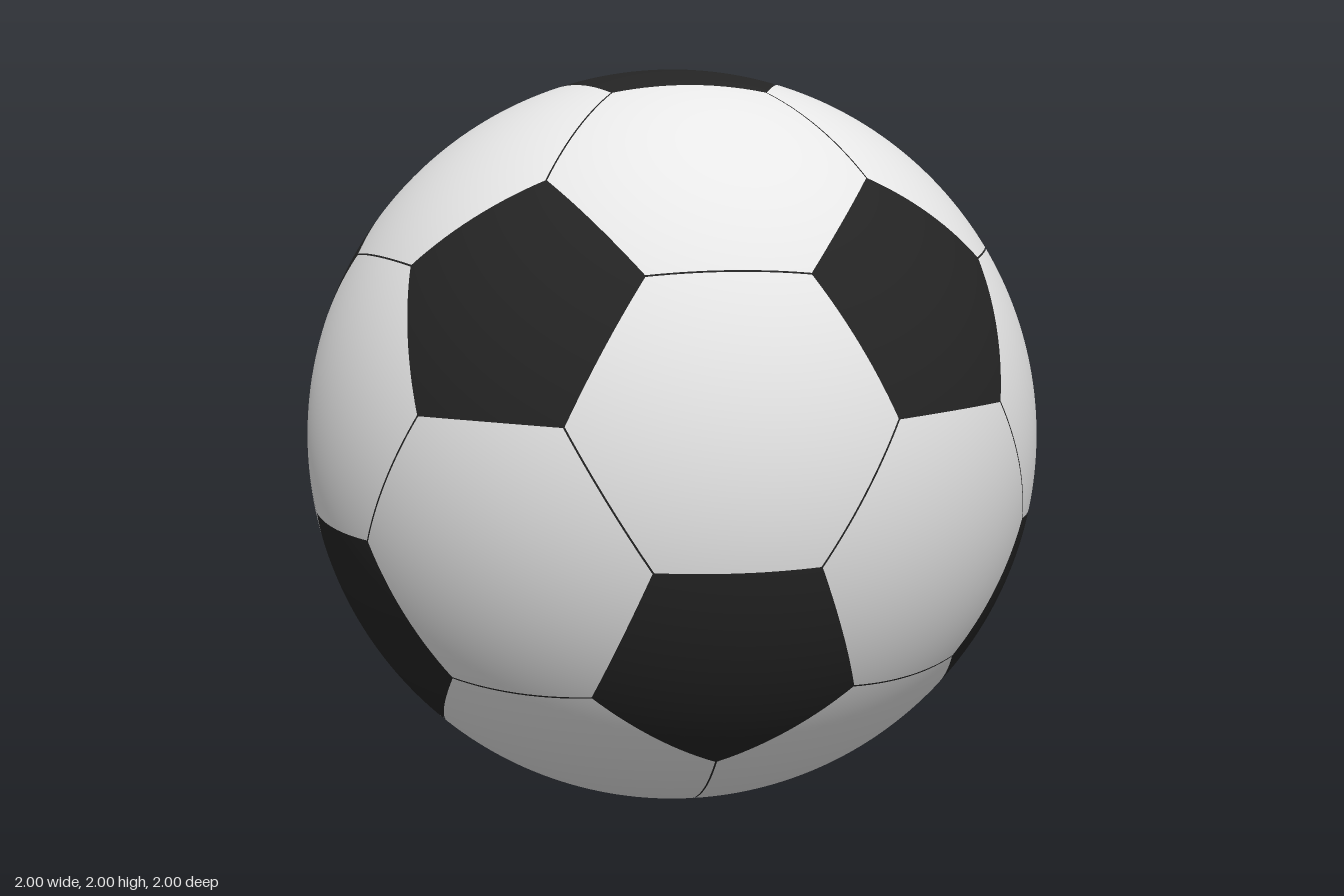
import * as THREE from 'three';

const SEAM = 0.0025; // half the width of a seam
const STEPS = 14; // subdivisions from panel centre to rim

// Corners of an icosahedron standing on one vertex
function icosahedronVertices() {
  const h = 1 / Math.sqrt(5), r = 2 * h;
  const points = [new THREE.Vector3(0, 1, 0), new THREE.Vector3(0, -1, 0)];
  for (let k = 0; k < 5; k++) {
    const a = k * Math.PI * 0.4, b = a + Math.PI / 5;
    points.push(new THREE.Vector3(r * Math.cos(a), h, r * Math.sin(a)));
    points.push(new THREE.Vector3(r * Math.cos(b), -h, r * Math.sin(b)));
  }
  return points;
}

// Point one third of the way from a to b, pushed out to the ball
const third = (a, b) => a.clone().multiplyScalar(2).add(b).normalize();

// Spherical polygon: a subdivided fan around the centre, projected onto the ball
function panelGeometry(corners) {
  const centre = new THREE.Vector3();
  corners.forEach((p) => centre.add(p));
  centre.divideScalar(corners.length);
  const normal = centre.clone().normalize();
  const u = corners[0].clone().sub(centre).normalize();
  const v = new THREE.Vector3().crossVectors(normal, u);
  const angle = (p) => {
    const d = p.clone().sub(centre);
    return Math.atan2(d.dot(v), d.dot(u));
  };
  const ring = [...corners].sort((a, b) => angle(a) - angle(b));

  // Pull the rim in to leave the seam
  const inradius = ring[0].clone().add(ring[1]).multiplyScalar(0.5).distanceTo(centre);
  const rim = ring.map((p) => p.clone().sub(centre).multiplyScalar(1 - SEAM / inradius));

  const positions = [], index = [];
  rim.forEach((p, s) => {
    const q = rim[(s + 1) % rim.length];
    const base = positions.length / 3;
    const at = (i, j) => base + (i * (i + 1)) / 2 + j;
    for (let i = 0; i <= STEPS; i++) {
      for (let j = 0; j <= i; j++) {
        const point = centre.clone()
          .addScaledVector(p, (i - j) / STEPS)
          .addScaledVector(q, j / STEPS)
          .normalize();
        positions.push(point.x, point.y, point.z);
        if (i < STEPS) {
          index.push(at(i, j), at(i + 1, j), at(i + 1, j + 1));
          if (j < i) index.push(at(i, j), at(i + 1, j + 1), at(i, j + 1));
        }
      }
    }
  });
  const geometry = new THREE.BufferGeometry();
  geometry.setAttribute('position', new THREE.Float32BufferAttribute(positions, 3));
  geometry.setAttribute('normal', new THREE.Float32BufferAttribute(positions, 3));
  geometry.setIndex(index);
  return geometry;
}

export function createModel() {
  const white = new THREE.MeshStandardMaterial({ color: 0xeeeeee });
  white.name = 'white leather';
  const black = new THREE.MeshStandardMaterial({ color: 0x242424 });
  black.name = 'black leather';

  const ball = new THREE.Group();
  ball.name = 'ball';
  ball.position.y = 1;

  const add = (name, geometry, material) => {
    const mesh = new THREE.Mesh(geometry, material);
    mesh.name = name;
    ball.add(mesh);
  };

  // Dark core that shows through the seams
  add('seamCore', new THREE.SphereGeometry(0.996, 96, 64), black);

  const verts = icosahedronVertices();
  const adjacent = (a, b) => a.dot(b) > 0.4 && a !== b;

  // Twelve black pentagons, one on each vertex
  verts.forEach((a) => {
    const corners = verts.filter((b) => adjacent(a, b)).map((b) => third(a, b));
    add('pentagonPanel', panelGeometry(corners), black);
  });

  // Twenty white hexagons, one on each face
  verts.forEach((a, i) => verts.forEach((b, j) => verts.forEach((c, k) => {
    if (!(i < j && j < k && adjacent(a, b) && adjacent(b, c) && adjacent(a, c))) return;
    const corners = [third(a, b), third(b, a), third(b, c), third(c, b), third(c, a), third(a, c)];
    add('hexagonPanel', panelGeometry(corners), white);
  })));

  const model = new THREE.Group();
  model.name = 'football';
  model.add(ball);
  return model;
}
